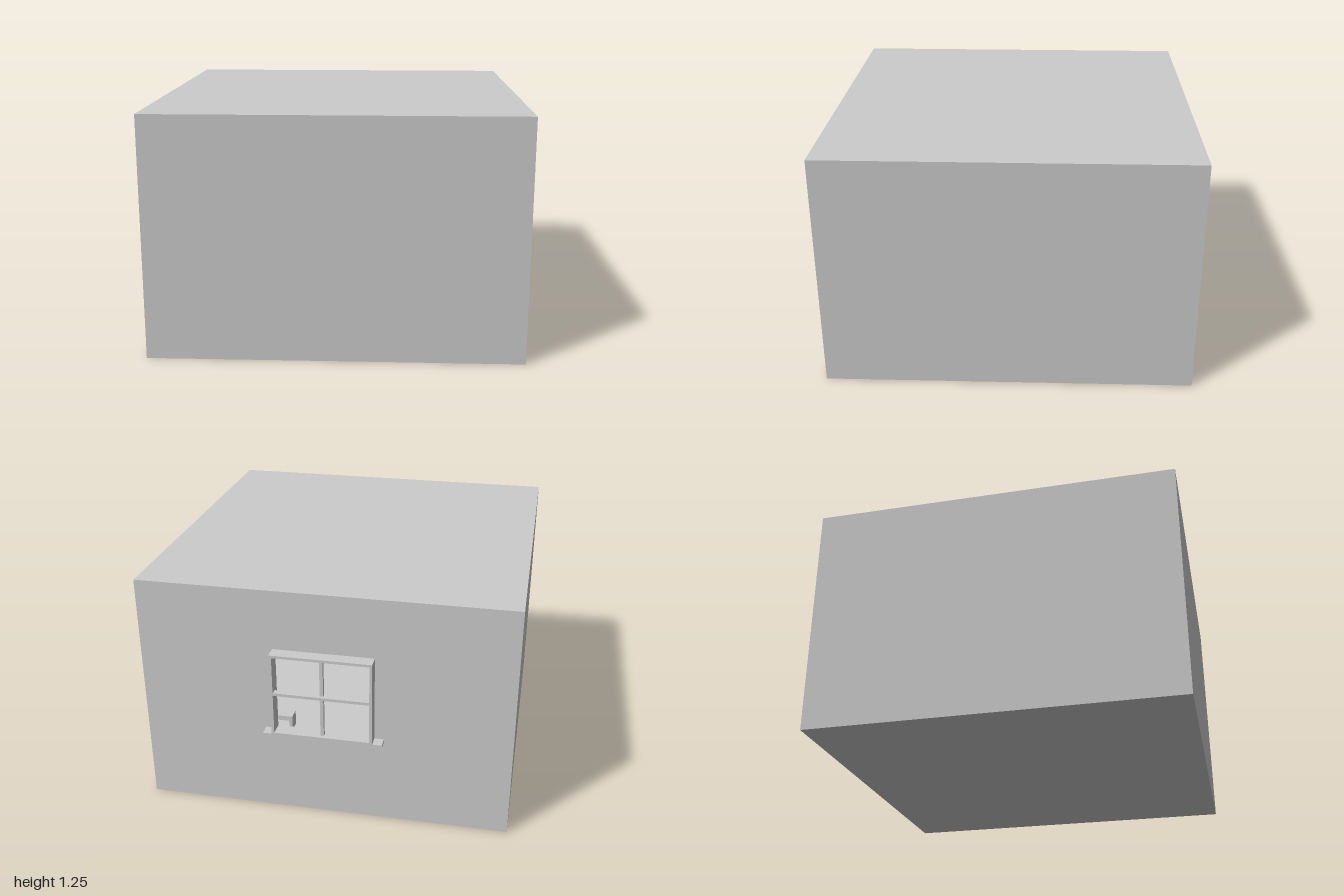
import * as THREE from 'three';

const material = new THREE.MeshStandardMaterial({ color: 0xcccccc, side: THREE.DoubleSide });

// Box given by its lower and upper corners
function box(parent, name, [x0, y0, z0], [x1, y1, z1]) {
  const mesh = new THREE.Mesh(new THREE.BoxGeometry(x1 - x0, y1 - y0, z1 - z0), material);
  mesh.position.set((x0 + x1) / 2, (y0 + y1) / 2, (z0 + z1) / 2);
  mesh.name = name;
  parent.add(mesh);
  return mesh;
}

export function createModel() {
  const model = new THREE.Group();
  const W = 0.96, H = 1.255, F = 1, B = -0.93, T = 0.006; // room extents, wall thickness
  const w = 0.26, low = 0.483, top = 0.94, board = 0.014; // window extents

  // Room shell
  const room = new THREE.Group();
  room.name = 'room';
  model.add(room);
  box(room, 'floor', [-W, 0, B], [W, T, F]);
  box(room, 'ceiling', [-W, H - T, B], [W, H, F]);
  box(room, 'frontWall', [-W, T, F - T], [W, H - T, F]);
  box(room, 'leftWall', [W - T, T, B + T], [W, H - T, F - T]);
  box(room, 'rightWall', [-W, T, B + T], [-W + T, H - T, F - T]);

  // Back wall with the window opening
  const wall = new THREE.Shape([[-W, T], [W, T], [W, H - T], [-W, H - T]].map(p => new THREE.Vector2(...p)));
  const i = w - board;
  wall.holes.push(new THREE.Path([[-i, low + board], [-i, top - board], [i, top - board], [i, low + board]].map(p => new THREE.Vector2(...p))));
  const backWall = new THREE.Mesh(new THREE.ExtrudeGeometry(wall, { depth: T, bevelEnabled: false }), material);
  backWall.position.z = B;
  backWall.name = 'backWall';
  room.add(backWall);

  // Projecting window frame, glazing bars and sill
  const win = new THREE.Group();
  win.name = 'window';
  model.add(win);
  box(win, 'windowHead', [-w, top - board, -1], [w, top, B]);
  box(win, 'windowBase', [-w, low, -1], [w, low + board, B]);
  for (const s of [-1, 1]) {
    const x = s * (w - board / 2);
    box(win, 'windowJamb', [x - board / 2, low + board, -1], [x + board / 2, top - board, B]);
  }
  box(win, 'verticalBar', [-0.009, low + board, -0.98], [0.009, top - board, -0.96]);
  box(win, 'horizontalBar', [-w, 0.712, -0.998], [w, 0.727, -0.965]);
  box(win, 'windowSill', [-0.31, 0.47, -0.99], [0.31, low, B]);

  // Small furniture inside the room
  const bench = new THREE.Group();
  bench.name = 'bench';
  model.add(bench);
  box(bench, 'benchSeat', [0.38, 0.07, -0.2], [0.58, 0.1, -0.12]);
  box(bench, 'benchBack', [0.55, 0.1, -0.2], [0.57, 0.22, -0.12]);
  for (const x of [0.38, 0.56]) box(bench, 'benchLeg', [x, T, -0.2], [x + 0.02, 0.07, -0.12]);

  const table = new THREE.Group();
  table.name = 'roundTable';
  table.position.set(0.59, 0, -0.02);
  model.add(table);
  for (const [name, r, h, y] of [['tableTop', 0.06, 0.015, 0.143], ['tableLeg', 0.012, 0.13, 0.071]]) {
    const mesh = new THREE.Mesh(new THREE.CylinderGeometry(r, r, h, 24), material);
    mesh.position.y = y;
    mesh.name = name;
    table.add(mesh);
  }
  return model;
}
